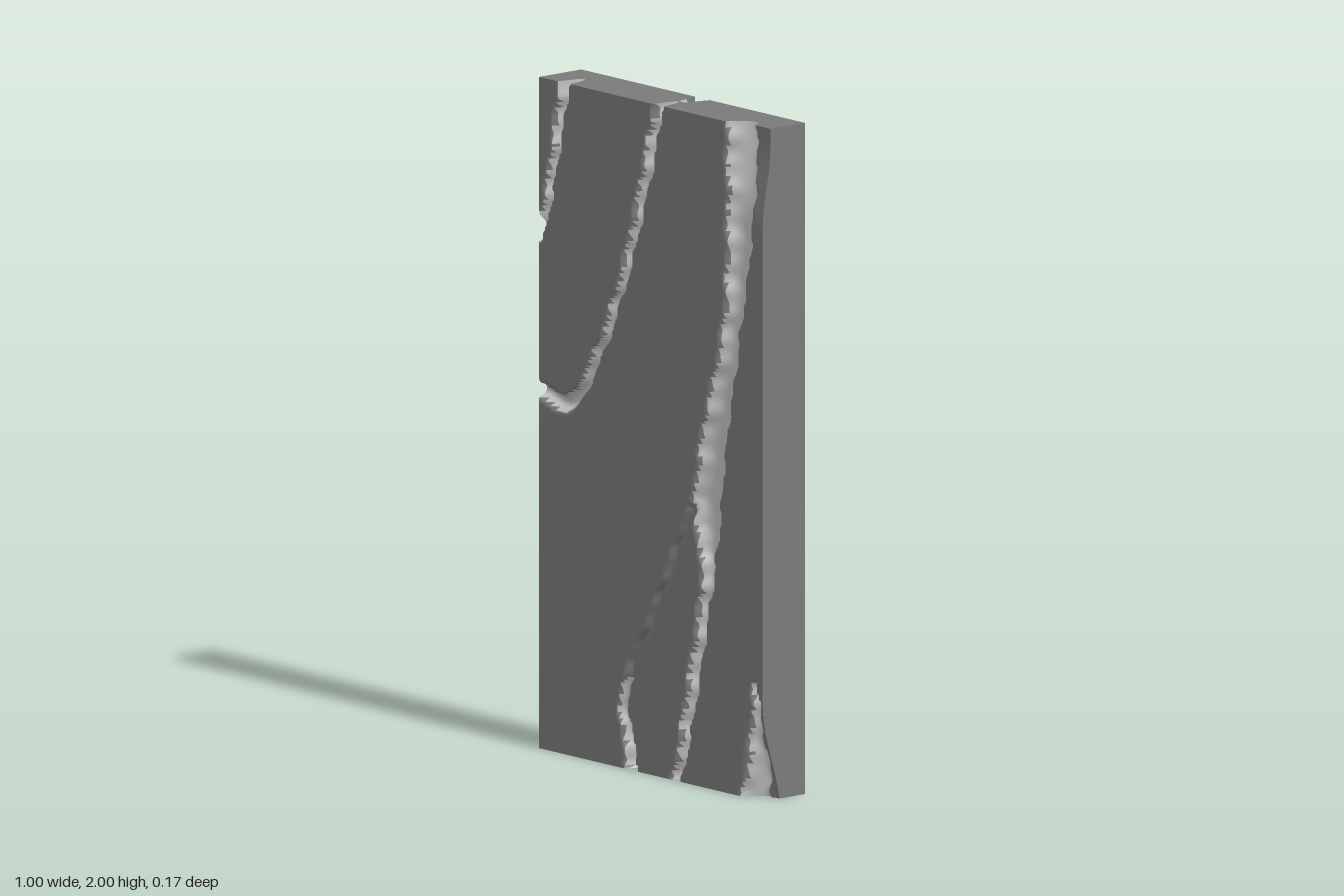
import * as THREE from 'three';

const NX = 120, NY = 220, HALF = 0.081;
const stone = new THREE.MeshStandardMaterial({ color: 0x7a7a7a });
stone.name = 'grey stone';
const pale = new THREE.MeshStandardMaterial({ color: 0xc2c2c2 });
pale.name = 'pale broken stone';

// A crack follows a smooth path through points (x, y, half width). It is cut deeper
// by edgeCut at the top and bottom of the slab, and is pale below paleBelow.
const p = (x, y, w) => new THREE.Vector3(x, y, w);
function crack(depth, edgeCut, paleBelow, ...points) {
  const path = new THREE.CatmullRomCurve3(points).getPoints(points.length * 4);
  return { depth, edgeCut, paleBelow, path };
}
const wideCrack = crack(0.036, 0.005, 2, p(0.382, 2, 0.05), p(0.395, 1.74, 0.06), p(0.36, 1.4, 0.042),
  p(0.27, 1, 0.06), p(0.247, 0.8, 0.062), p(0.255, 0.68, 0.032), p(0.175, 0.25, 0.025), p(0.115, 0, 0.02));
const longCrack = crack(0.03, 0.051, 2, p(0.03, 2, 0.022), p(-0.02, 1.8, 0.022), p(-0.15, 1.4, 0.018),
  p(-0.3, 1.12, 0.022), p(-0.38, 1.045, 0.026), p(-0.5, 1.07, 0.022));
const cornerCrack = crack(0.03, 0.05, 2, p(-0.39, 2, 0.024), p(-0.45, 1.7, 0.017), p(-0.5, 1.53, 0.02));
const branchCrack = crack(0.016, 0.065, 0.27, p(0.18, 0.82, 0.018), p(0.03, 0.52, 0.014),
  p(-0.12, 0.22, 0.02), p(-0.08, 0, 0.025));
const footCrack = crack(0.022, 0.01, 2, p(0.465, 0.34, 0.01), p(0.465, 0.2, 0.022), p(0.44, 0, 0.036));
const frontCracks = [wideCrack, longCrack, cornerCrack, branchCrack, footCrack];

const backTop = crack(0.028, 0.053, 2, p(0.04, 2, 0.03), p(0.055, 1.78, 0.044), p(0.02, 1.42, 0.036),
  p(-0.03, 1.26, 0.032), p(-0.05, 1.15, 0.012));
const backMiddle = crack(0.02, 0, 2, p(-0.26, 1.07, 0.018), p(-0.115, 0.92, 0.024),
  p(-0.13, 0.81, 0.025), p(-0.115, 0.66, 0.012));
const backFoot = crack(0.022, 0.059, 2, p(-0.07, 0.44, 0.012), p(-0.07, 0.32, 0.042),
  p(-0.055, 0.19, 0.024), p(-0.075, 0, 0.03));
const backCracks = [backTop, backMiddle, backFoot];

// Depth carved at a point, and whether it exposes pale stone
function carve(cracks, x, y) {
  let depth = 0, exposed = false;
  const wx = x + 0.005 * Math.sin(y * 37 + 1) + 0.003 * Math.sin(y * 83);
  const nearEdge = Math.exp(-Math.min(y, 2 - y) / 0.07);
  for (const c of cracks) {
    for (let k = 0; k < c.path.length - 1; k++) {
      const a = c.path[k], b = c.path[k + 1];
      const dx = b.x - a.x, dy = b.y - a.y;
      const s = THREE.MathUtils.clamp(((wx - a.x) * dx + (y - a.y) * dy) / (dx * dx + dy * dy), 0, 1);
      const t = Math.hypot(wx - a.x - dx * s, y - a.y - dy * s) / (a.z + (b.z - a.z) * s);
      if (t >= 1) continue;
      depth = Math.max(depth, (c.depth + c.edgeCut * nearEdge) * (1 - t * t * t));
      if (t < 0.92 && y < c.paleBelow) exposed = true;
    }
  }
  return { depth, exposed };
}

// Chipped corners on the right edge of the front
function chips(x, y) {
  const ramp = THREE.MathUtils.smoothstep;
  const top = 0.03 * ramp(y, 1.7, 1.95) * ramp(x, 0.34, 0.42);
  const foot = 0.068 * (1 - ramp(y, -0.05, 0.29)) * ramp(x, 0.41, 0.49);
  return top + foot;
}

const px = i => i / NX - 0.5;
const py = j => 2 * j / NY;
function frontZ(x, y) {
  return HALF - Math.min(HALF, carve(frontCracks, x, y).depth + chips(x, y));
}
function backZ(x, y) {
  const bulge = 0.004 * Math.exp(-((x + 0.05) ** 2) / 0.04 - ((y - 1.1) ** 2) / 0.12);
  return Math.min(0, -HALF - bulge + carve(backCracks, x, y).depth);
}

// Carved face as a grid, with one group for plain and one for pale stone
function carvedFace(name, zAt, cracks, flip) {
  const pos = [], plain = [], broken = [];
  for (let j = 0; j <= NY; j++)
    for (let i = 0; i <= NX; i++) pos.push(px(i), py(j), zAt(px(i), py(j)));
  for (let j = 0; j < NY; j++) {
    for (let i = 0; i < NX; i++) {
      const a = j * (NX + 1) + i, b = a + 1, d = a + NX + 1, c = d + 1;
      const list = carve(cracks, px(i + 0.5), py(j + 0.5)).exposed ? broken : plain;
      if (flip) list.push(a, c, b, a, d, c);
      else list.push(a, b, c, a, c, d);
    }
  }
  const g = new THREE.BufferGeometry();
  g.setAttribute('position', new THREE.Float32BufferAttribute(pos, 3));
  g.setIndex(plain.concat(broken));
  g.addGroup(0, plain.length, 0);
  g.addGroup(plain.length, broken.length, 1);
  g.computeVertexNormals();
  const mesh = new THREE.Mesh(g, [stone, pale]);
  mesh.name = name;
  return mesh;
}

// Cut edges joining the two faces around the outline
function edges() {
  const ring = [];
  for (let i = 0; i < NX; i++) ring.push([i, 0]);
  for (let j = 0; j < NY; j++) ring.push([NX, j]);
  for (let i = NX; i > 0; i--) ring.push([i, NY]);
  for (let j = NY; j > 0; j--) ring.push([0, j]);
  const pos = [];
  ring.forEach(([i, j], k) => {
    const [m, n] = ring[(k + 1) % ring.length];
    const x = px(i), y = py(j), u = px(m), v = py(n);
    const fp = [x, y, frontZ(x, y)], bp = [x, y, backZ(x, y)];
    const fq = [u, v, frontZ(u, v)], bq = [u, v, backZ(u, v)];
    pos.push(...fp, ...bp, ...bq, ...fp, ...bq, ...fq);
  });
  const g = new THREE.BufferGeometry();
  g.setAttribute('position', new THREE.Float32BufferAttribute(pos, 3));
  g.computeVertexNormals();
  const mesh = new THREE.Mesh(g, stone);
  mesh.name = 'slabEdges';
  return mesh;
}

export function createModel() {
  const slab = new THREE.Group();
  slab.name = 'crackedStoneSlab';
  slab.add(carvedFace('frontFace', frontZ, frontCracks, false));
  slab.add(carvedFace('backFace', backZ, backCracks, true));
  slab.add(edges());
  return slab;
}
